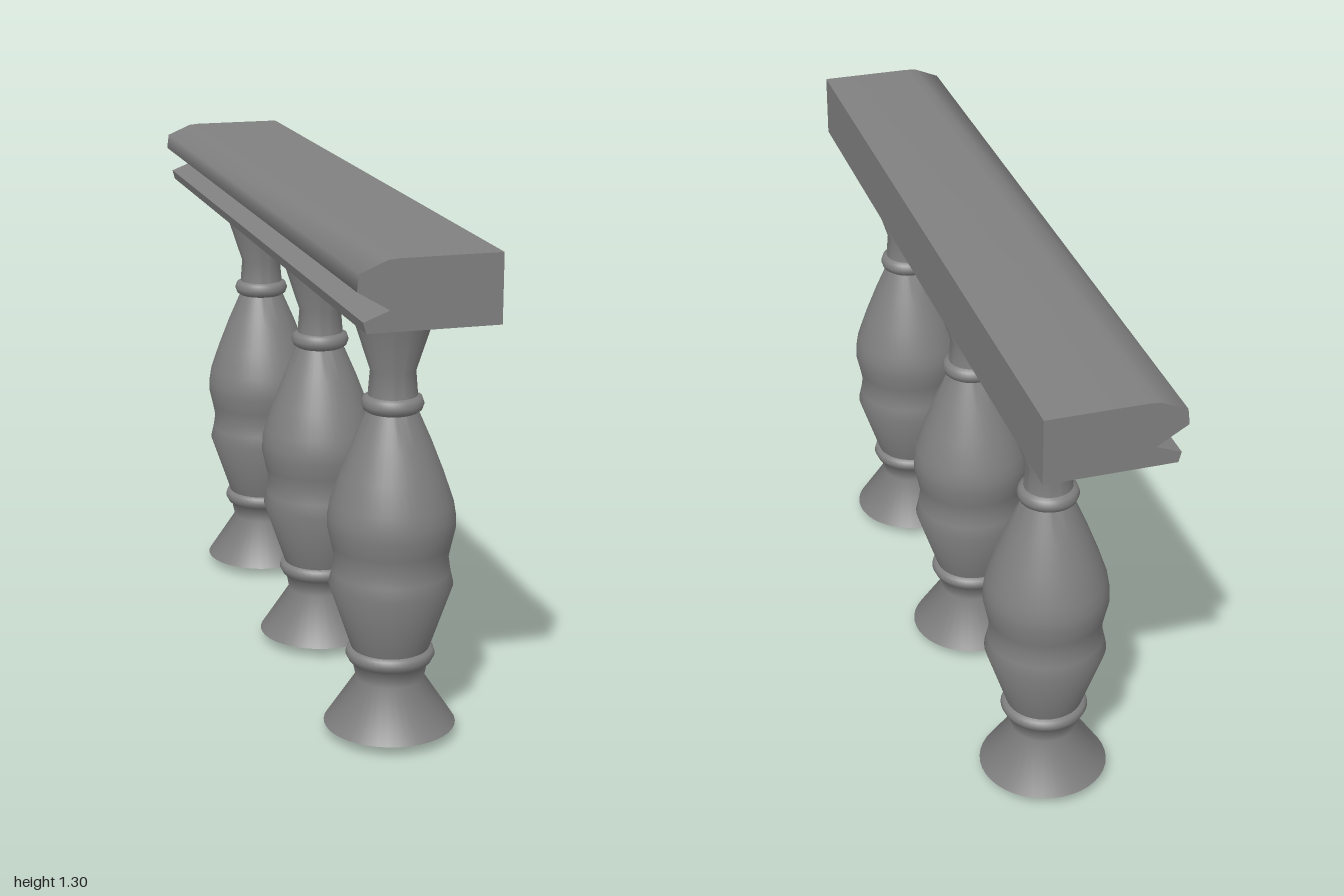
import * as THREE from 'three';
import { toCreasedNormals } from 'three/addons/utils/BufferGeometryUtils.js';

const vectors = (points) => points.map(([x, y]) => new THREE.Vector2(x, y));

export function createModel() {
  const model = new THREE.Group();
  model.name = 'balustrade';
  const material = new THREE.MeshStandardMaterial({ color: 0x808080 });

  // Handrail: moulded section extruded along z, with a grooved left edge
  const section = new THREE.Shape(vectors([
    [0.157, 1.3], [-0.085, 1.3], [-0.113, 1.298], [-0.18, 1.27], [-0.185, 1.23],
    [-0.108, 1.184], [-0.17, 1.16], [-0.163, 1.134], [0.157, 1.134],
  ]));
  const railGeometry = new THREE.ExtrudeGeometry(section, { depth: 2, bevelEnabled: false });
  railGeometry.translate(0, 0, -1);
  const rail = new THREE.Mesh(toCreasedNormals(railGeometry, 1.25), material);
  rail.name = 'handrail';
  model.add(rail);

  // Baluster: turned profile from the pointed foot to the flared capital
  const profile = vectors([
    [0, 0], [0.166, 0.028], [0.086, 0.15], [0.094, 0.19],
    // lower ring
    [0.104, 0.197], [0.112, 0.213], [0.108, 0.227], [0.098, 0.232],
    // double-bulged body
    [0.155, 0.4], [0.147, 0.435], [0.142, 0.47], [0.149, 0.505], [0.159, 0.55],
    [0.158, 0.58], [0.152, 0.615], [0.128, 0.685], [0.097, 0.765], [0.063, 0.843],
    // upper ring
    [0.072, 0.849], [0.077, 0.863], [0.072, 0.878], [0.061, 0.884],
    // neck and capital
    [0.056, 0.945], [0.117, 1.134],
  ]);
  const balusterGeometry = toCreasedNormals(new THREE.LatheGeometry(profile, 40), 0.95);
  for (const z of [-0.64, 0, 0.64]) {
    const baluster = new THREE.Mesh(balusterGeometry, material);
    baluster.name = 'baluster';
    baluster.position.set(0.017, 0, z);
    model.add(baluster);
  }

  return model;
}
